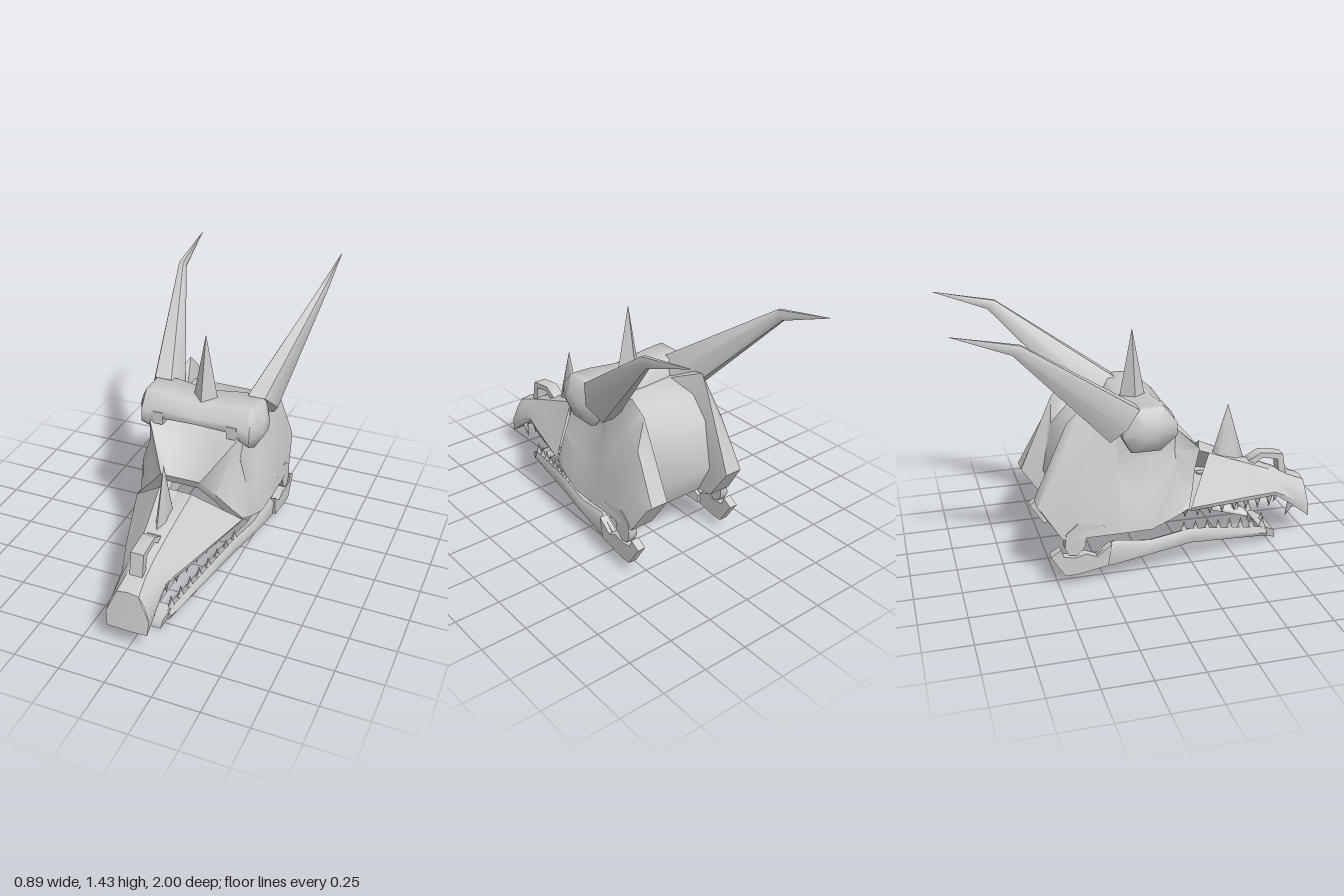
import * as THREE from 'three';
import { toCreasedNormals } from 'three/addons/utils/BufferGeometryUtils.js';
import { ConvexGeometry } from 'three/addons/geometries/ConvexGeometry.js';

const bone = new THREE.MeshStandardMaterial({ color: 0xcccccc, side: THREE.DoubleSide });

function add(parent, name, geometry, crease = 0.9) {
  const mesh = new THREE.Mesh(toCreasedNormals(geometry, crease), bone);
  mesh.name = name;
  parent.add(mesh);
  return mesh;
}

// Skin through rows of [x, y, z] points; ring closes each row and caps the ends
function loft(rows, ring = false) {
  const n = rows[0].length, index = [];
  for (let i = 0; i < rows.length - 1; i++) {
    for (let j = 0; j < (ring ? n : n - 1); j++) {
      const a = i * n + j, b = i * n + (j + 1) % n;
      index.push(a, a + n, b, b, a + n, b + n);
    }
  }
  if (ring) {
    const end = (rows.length - 1) * n;
    for (let j = 1; j < n - 1; j++) index.push(0, j, j + 1, end, end + j + 1, end + j);
  }
  const g = new THREE.BufferGeometry();
  g.setAttribute('position', new THREE.Float32BufferAttribute(rows.flat(2), 3));
  g.setIndex(index);
  g.computeVertexNormals();
  return g;
}

// Complete a half row (starting on the centre line) across x = 0
const whole = (half) => [...half.slice(1).reverse().map(([x, y, z]) => [-x, y, z]), ...half];

// Plate with a [z, y] outline, spanning x0 to x1
function plate(outline, x0, x1, hole) {
  const points = (list) => list.map(([z, y]) => new THREE.Vector2(-z, y));
  const shape = new THREE.Shape(points(outline));
  if (hole) shape.holes.push(new THREE.Path(points(hole)));
  const g = new THREE.ExtrudeGeometry(shape, { depth: x1 - x0, bevelEnabled: false });
  return g.rotateY(Math.PI / 2).translate(x0, 0, 0);
}

function spike(parent, name, base, height, rx, rz, sides) {
  const mesh = add(parent, name, new THREE.ConeGeometry(1, 1, sides).translate(0, 0.5, 0));
  mesh.position.set(...base);
  mesh.scale.set(rx, Math.abs(height), rz);
  if (height < 0) mesh.rotation.x = Math.PI;
  return mesh;
}

export function createModel() {
  const skull = new THREE.Group();
  skull.name = 'hornedSkull';

  // Cranium: turned-in front rim, forehead and eye sockets
  const rim = [[0, .61, .33], [.06, .61, .33], [.11, .61, .33], [.18, .52, .28], [.26, .42, .24], [.31, .36, .21]];
  const temple = [[0, .86, -.17], [.17, .87, -.17], [.25, .90, -.17], [.26, .68, -.17], [.31, .52, -.17], [.345, .28, -.17]];
  add(skull, 'cranium', loft([
    rim.map(([x, y, z]) => [x * .87, y - .05, z - .02]),
    rim,
    [[0, .68, .14], [.12, .72, .15], [.25, .80, .15], [.26, .68, .14], [.30, .55, .15], [.33, .33, .13]],
    [[0, .84, 0], [.15, .84, 0], [.25, .84, 0], [.20, .64, 0], [.30, .45, 0], [.34, .28, 0]],
    temple,
  ].map(whole)));

  // Rear ridges and the recessed panel between them
  add(skull, 'backOfSkull', loft([
    temple,
    [[0, .83, -.33], [.19, .83, -.33], [.23, .95, -.35], [.28, .75, -.34], [.32, .52, -.34], [.345, .28, -.33]],
    [[0, .72, -.43], [.19, .72, -.43], [.21, .87, -.42], [.28, .72, -.46], [.32, .50, -.47], [.34, .28, -.43]],
    [[0, .45, -.48], [.19, .45, -.48], [.20, .46, -.60], [.30, .46, -.60], [.315, .44, -.58], [.335, .28, -.48]],
    [[0, .28, -.40], [.19, .28, -.40], [.20, .28, -.48], [.32, .28, -.48], [.33, .28, -.48], [.335, .28, -.48]],
  ].map(whole)));

  // Upper jaw, closed below by a palate
  const snout = [
    [[0, .55, .36], [.09, .57, .39], [.20, .465, .305], [.31, .36, .22], [.295, .335, .22], [0, .345, .22]],
    [[0, .49, .60], [.065, .48, .60], [.13, .40, .60], [.19, .325, .60], [.185, .30, .60], [0, .31, .60]],
    [[0, .42, .77], [.05, .41, .77], [.09, .36, .78], [.125, .30, .78], [.12, .28, .78], [0, .29, .78]],
    [[0, .37, .87], [.05, .37, .87], [.09, .32, .89], [.12, .24, .90], [.115, .21, .88], [0, .22, .88]],
    [[0, .34, .97], [.06, .33, .97], [.09, .28, .975], [.118, .20, .985], [.11, .12, .995], [0, .12, .995]],
  ];
  add(skull, 'snout', loft(snout.map(whole)), 0.6);
  add(skull, 'snoutTip', loft([
    [[0, .34, .97], [.06, .33, .97]],
    [[0, .20, .988], [.118, .20, .985]],
    [[0, .12, 1], [.11, .12, .995]],
  ].map(whole)));
  add(skull, 'noseRing', plate(
    [[.875, .36], [.85, .49], [.72, .51], [.65, .47], [.64, .42]], -.035, .035,
    [[.83, .385], [.82, .46], [.73, .48], [.68, .445]]));

  // Brow bar across the forehead: an octagon swept along x
  const brow = [[-.35, .785, .87, .35], [-.305, .71, .945, 1], [-.27, .70, .945, 1], [-.18, .77, .94, 1],
    [0, .79, .915, 1], [.18, .77, .94, 1], [.27, .70, .945, 1], [.305, .71, .945, 1], [.35, .785, .87, .35]];
  const octagon = [[.14, .62], [.07, 1], [-.10, 1], [-.15, .62], [-.15, .36], [-.10, 0], [.05, 0], [.14, .32]];
  add(skull, 'browBar', loft(brow.map(([x, low, high, s]) =>
    octagon.map(([z, t]) => [x, low + (high - low) * t, z * s])), true), 1.1);

  // Centre line spikes
  spike(skull, 'crownSpike', [0, .88, -.02], .40, .075, .075, 4);
  spike(skull, 'noseSpike', [0, .46, .525], .35, .035, .105, 6);

  // Lower jaw chin
  add(skull, 'chin', new ConvexGeometry([-1, 1].flatMap((s) => [
    [.12, .09, .72], [.09, 0, .80], [.10, .05, .79], [.11, .035, .70], [.09, .085, .70],
  ].map(([x, y, z]) => new THREE.Vector3(s * x, y, z)))));
  spike(skull, 'chinTooth', [0, .08, .75], .045, .015, .015, 6);

  // Paired parts, built on the left and mirrored
  for (const side of [1, -1]) {
    const half = new THREE.Group();
    half.name = side > 0 ? 'leftSide' : 'rightSide';
    half.scale.x = side;
    skull.add(half);

    // Horn: tapering rings [x, y, z, half width, half depth] with a bend near the tip
    const horn = [[.268, .865, -.14, .095, .112], [.423, 1.345, -.69, .024, .03], [.427, 1.432, -.995, .001, .001]];
    add(half, 'horn', loft(horn.map(([x, y, z, rx, rv]) => Array.from({ length: 6 }, (_, i) => {
      const a = i * Math.PI / 3, v = Math.sin(a) * rv * 1.15;
      return [x + Math.cos(a) * rx, y + v * .73, z + v * .69];
    })), true), 1.1);

    add(half, 'browPeg', new THREE.BoxGeometry(.055, .07, .25).translate(.208, .825, .02));

    // Jaw bar: [z, x, bottom, top]
    const bar = [[.74, .095, .02, .08], [.70, .115, .04, .095], [.24, .25, .13, .215], [0, .285, .11, .195],
      [-.2, .305, .09, .23], [-.30, .31, .085, .165]];
    add(half, 'jawBar', loft(bar.map(([z, x, low, high]) => [
      [x - .035, low + .02, z], [x + .015, low, z], [x + .03, high - .03, z], [x + .01, high, z], [x - .03, high - .02, z],
    ]), true));
    add(half, 'jawSocket', plate([[-.22, .22], [-.30, .16], [-.36, .185], [-.41, .17], [-.475, .18],
      [-.49, .225], [-.545, .19], [-.47, .07], [-.41, .07], [-.24, .10]], .295, .342));
    add(half, 'jawHinge', plate([[-.20, .275], [-.27, .34], [-.35, .30], [-.365, .22], [-.41, .18],
      [-.45, .19], [-.47, .23], [-.46, .31], [-.40, .36]], .29, .34));

    // Teeth follow the jaw edges, shrinking toward the back
    for (let i = 0; i < 8; i++) {
      const t = i / 7;
      spike(half, 'upperTooth', [.105 + t * .155, .30 + t * .05, .75 - i * .078], -.095 + t * .03, .021, .026, 6);
      spike(half, 'lowerTooth', [.112 + t * .145, .075 + t * .115, .71 - i * .073], .085 - t * .015, .019, .024, 6);
    }
    const fang = spike(half, 'frontFang', [.09, .23, .90], -.11, .02, .03, 6);
    fang.rotation.x += 0.4;
  }
  return skull;
}
